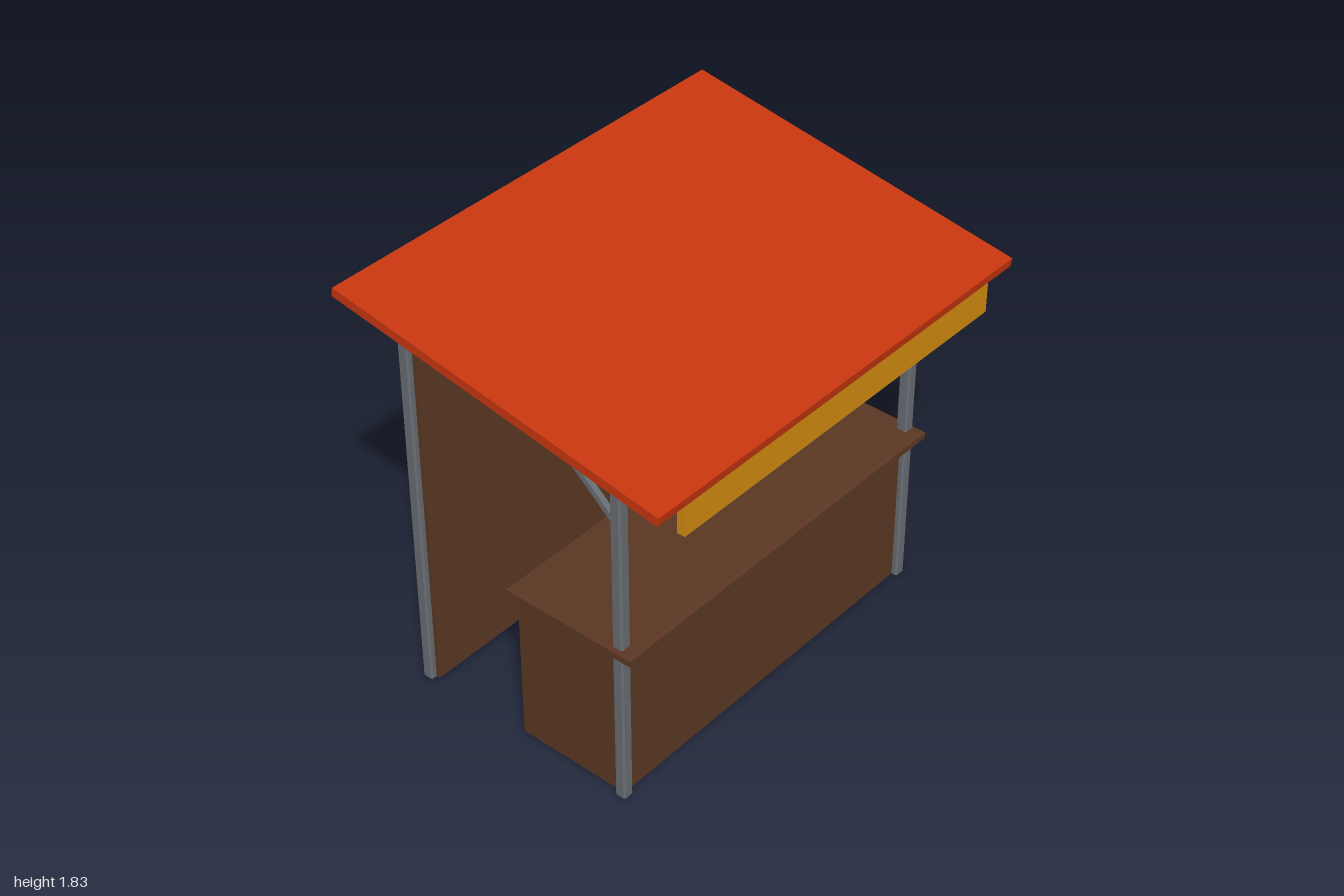
import * as THREE from 'three';

const mat = (name, color, side = THREE.FrontSide) => {
  const m = new THREE.MeshStandardMaterial({ color, side });
  m.name = name;
  return m;
};

export function createModel() {
  const red = mat('roof red', 0xc8360f);
  const yellow = mat('sign yellow', 0xd28a10);
  const brown = mat('wood brown', 0x5b3723, THREE.DoubleSide);
  const grey = mat('steel grey', 0x686d73);

  const stall = new THREE.Group();
  stall.name = 'marketStall';

  const add = (name, geometry, material, x = 0, y = 0, z = 0) => {
    const mesh = new THREE.Mesh(geometry, material);
    mesh.name = name;
    mesh.position.set(x, y, z);
    stall.add(mesh);
    return mesh;
  };

  // Box given by its two corners
  const block = (name, material, x0, x1, y0, y1, z0, z1) => add(
    name, new THREE.BoxGeometry(x1 - x0, y1 - y0, z1 - z0), material,
    (x0 + x1) / 2, (y0 + y1) / 2, (z0 + z1) / 2);

  // Box shell with an open underside
  const shell = (name, x0, x1, y1, z0, z1) => {
    const mesh = block(name, brown, x0, x1, 0, y1, z0, z1);
    const index = Array.from(mesh.geometry.index.array);
    index.splice(18, 6); // remove the bottom face
    mesh.geometry.setIndex(index);
    mesh.geometry.clearGroups();
  };

  // Upright square post with chamfered corners
  const post = (name, x, z, height) => {
    const h = 0.0245, c = h - 0.007;
    const outline = [[h, -c], [h, c], [c, h], [-c, h], [-h, c], [-h, -c], [-c, -h], [c, -h]];
    const shape = new THREE.Shape(outline.map(([a, b]) => new THREE.Vector2(a, b)));
    const geometry = new THREE.ExtrudeGeometry(shape, { depth: height, bevelEnabled: false });
    geometry.rotateX(-Math.PI / 2);
    add(name, geometry, grey, x, 0, z);
  };

  // Sloping roof
  const roof = add('roof', new THREE.BoxGeometry(2, 0.038, 1.524), red, 0, 1.69, 0);
  roof.rotation.x = Math.atan2(0.239, 1.505);

  // Fascia board under the front of the roof
  block('fasciaBoard', yellow, -0.86, 0.86, 1.42, 1.56, 0.714, 0.748);

  // Counter body and back wall
  shell('counterBody', -0.836, 0.836, 0.682, -0.075, 0.434);
  shell('backWall', -0.836, 0.836, 1.63, -0.608, -0.528);

  // Countertop with bevelled edges
  const b = 0.012, w = 0.875 - b, d = 0.3025 - b;
  const top = new THREE.Shape([[-w, -d], [w, -d], [w, d], [-w, d]]
    .map(([x, y]) => new THREE.Vector2(x, y)));
  const slab = new THREE.ExtrudeGeometry(top, {
    depth: 0.05 - 2 * b, bevelThickness: b, bevelSize: b, bevelSegments: 1,
  });
  slab.rotateX(-Math.PI / 2);
  add('countertop', slab, brown, 0, 0.687 + b, 0.205);

  // Posts and roof braces on both sides
  for (const [side, s] of [['left', 1], ['right', -1]]) {
    post(side + 'FrontPost', s * 0.837, 0.434, 1.576);
    post(side + 'BackPost', s * 0.837, -0.569, 1.738);
    const dy = 0.3, dz = -0.345;
    const brace = add(side + 'Brace', new THREE.BoxGeometry(0.024, Math.hypot(dy, dz), 0.024),
      grey, s * 0.837, 1.45, 0.247);
    brace.rotation.x = Math.atan2(dz, dy);
  }
  return stall;
}
